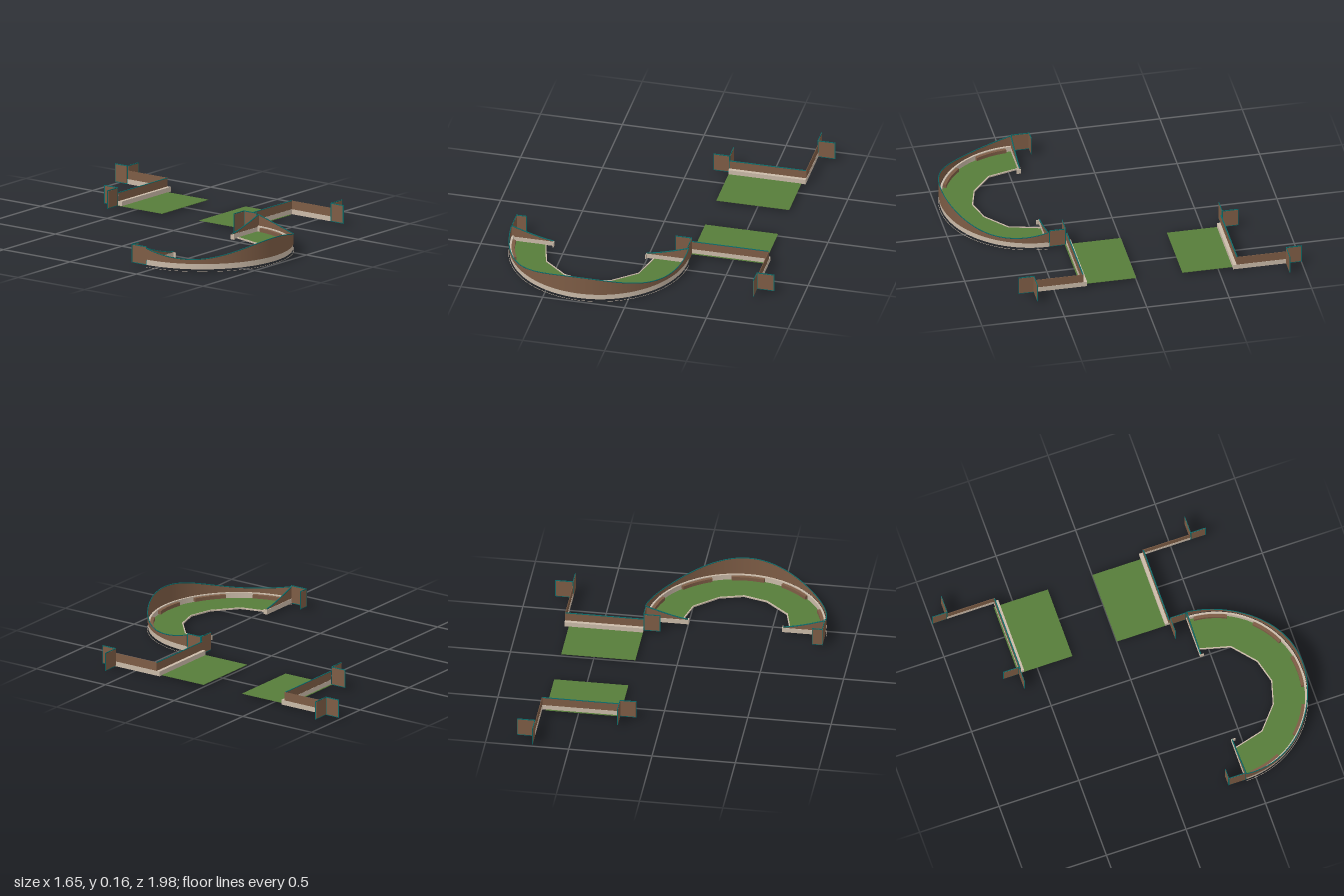
import * as THREE from 'three';

const mat = (name, color, side = THREE.FrontSide) => {
  const m = new THREE.MeshStandardMaterial({ color, side });
  m.name = name;
  return m;
};

export function createModel() {
  const root = new THREE.Group();
  root.name = 'gardenWalls';
  const brown = mat('brown', 0x7d5c45);
  const brownSheet = brown;
  brown.side = THREE.DoubleSide;
  const stone = mat('stone', 0xcabaa8);
  const teal = mat('teal', 0x0c6a68);
  const green = mat('grass', 0x577d3a);

  const add = (name, geometry, material, parent) => {
    const mesh = new THREE.Mesh(geometry, material);
    mesh.name = name;
    parent.add(mesh);
    return mesh;
  };
  // Box given by its two extremes on each axis
  const box = (name, m, parent, x0, x1, y0, y1, z0, z1) => {
    const g = new THREE.BoxGeometry(Math.abs(x1 - x0), y1 - y0, Math.abs(z1 - z0));
    g.translate((x0 + x1) / 2, (y0 + y1) / 2, (z0 + z1) / 2);
    return add(name, g, m, parent);
  };
  // Thin upright panel with a teal border, along x or along z
  const panel = (parent, axis, x, z, length) => {
    const g = new THREE.Group();
    g.name = 'framedPanel';
    const w = Math.abs(length), y0 = 0.012, y1 = 0.125, edge = 0.005;
    const h = y1 - y0;
    add('panelBorder', new THREE.BoxGeometry(w, h, 0.004), teal, g);
    add('panelFace', new THREE.BoxGeometry(w - 2 * edge, h - 2 * edge, 0.006), brown, g);
    if (axis === 'x') g.position.set(x + length / 2, (y0 + y1) / 2, z);
    else {
      g.position.set(x, (y0 + y1) / 2, z + length / 2);
      g.rotation.y = Math.PI / 2;
    }
    parent.add(g);
  };

  // Two straight units, mirrored about z = -0.14
  for (const s of [1, -1]) {
    const unit = new THREE.Group();
    unit.name = s > 0 ? 'frontStraightUnit' : 'backStraightUnit';
    root.add(unit);
    const Z = (d) => -0.14 + s * d;
    box('lawn', green, unit, 0.25, 0.695, 0.012, 0.015, Z(0.14), Z(0.48));
    box('wallBase', stone, unit, 0.25, 0.718, 0.013, 0.043, Z(0.443), Z(0.472));
    box('wall', brown, unit, 0.25, 0.718, 0.043, 0.092, Z(0.464), Z(0.471));
    box('wallCap', teal, unit, 0.25, 0.718, 0.092, 0.095, Z(0.464), Z(0.471));
    box('wingBase', stone, unit, 0.716, 0.721, 0.013, 0.043, Z(0.443), Z(0.765));
    box('wing', brown, unit, 0.717, 0.72, 0.043, 0.095, Z(0.465), Z(0.765));
    panel(unit, 'x', 0.15, Z(0.475), 0.1);
    panel(unit, 'z', 0.25, Z(0.475), s * 0.1);
    panel(unit, 'x', 0.716, Z(0.765), 0.109);
    panel(unit, 'z', 0.718, Z(0.765), s * 0.095);
  }

  // Half-round unit around its own centre
  const arc = new THREE.Group();
  arc.name = 'curvedUnit';
  arc.position.set(-0.285, 0, 0.44);
  root.add(arc);
  const flat = (shape, y0, y1) => {
    const g = new THREE.ExtrudeGeometry(shape, { depth: y1 - y0, bevelEnabled: false, curveSegments: 40 });
    return g.rotateX(Math.PI / 2).translate(0, y1, 0);
  };
  const sector = (r0, r1, a0, a1, y0, y1) => {
    const shape = new THREE.Shape();
    shape.absarc(0, 0, r1, a0, a1, false);
    shape.absarc(0, 0, r0, a1, a0, true);
    shape.closePath();
    return flat(shape, y0, y1);
  };

  // Curved lawn with a faceted inner edge and its thin kerb
  const inner = [[-0.335, 0], [-0.285, 0.19], [-0.145, 0.31], [0, 0.35], [0.145, 0.31], [0.285, 0.19], [0.335, 0]];
  const lawn = new THREE.Shape();
  lawn.absarc(0, 0, 0.53, 0, Math.PI, false);
  inner.forEach(([x, y]) => lawn.lineTo(x, y));
  lawn.closePath();
  add('curvedLawn', flat(lawn, 0.012, 0.015), green, arc);
  const kerb = new THREE.Shape();
  inner.forEach(([x, y], i) => (i ? kerb.lineTo(x, y) : kerb.moveTo(x, y)));
  [...inner].reverse().forEach(([x, y]) => kerb.lineTo(x * 0.98, y * 0.98));
  kerb.closePath();
  add('innerKerb', flat(kerb, 0.01, 0.019), stone, arc);

  // Stone ring, ground line and seats
  add('ringBase', sector(0.526, 0.538, 0, Math.PI, 0.013, 0.048), stone, arc);
  add('groundLine', sector(0.542, 0.544, 0, Math.PI, 0, 0.001), stone, arc);
  for (const deg of [15, 55, 90, 125, 165]) {
    const a = THREE.MathUtils.degToRad(deg), half = THREE.MathUtils.degToRad(11);
    add('seat', sector(0.507, 0.527, a - half, a + half, 0.02, 0.042), brown, arc);
  }

  // Wavy ring wall: high in the middle, a dip, then rising at the ends
  const R = 0.541;
  const waveHeight = (a) => {
    const d = THREE.MathUtils.radToDeg(Math.min(a, Math.PI - a));
    if (d < 30) return 0.073 + 0.042 * ((30 - d) / 30) ** 2;
    return 0.073 + 0.085 * (1 - Math.cos((Math.PI * (d - 30)) / 60)) / 2;
  };
  const wall = new THREE.CylinderGeometry(R, R, 1, 72, 1, true, -Math.PI / 2, Math.PI);
  const p = wall.attributes.position;
  for (let i = 0; i < p.count; i++) {
    const a = Math.atan2(Math.max(p.getZ(i), 0), p.getX(i));
    p.setY(i, p.getY(i) > 0 ? waveHeight(a) : 0.046);
  }
  add('wavyWall', wall, brownSheet, arc);
  const rim = [];
  for (let i = 0; i <= 48; i++) {
    const a = (Math.PI * i) / 48;
    rim.push(new THREE.Vector3(R * Math.cos(a), waveHeight(a), R * Math.sin(a)));
  }
  add('wavyRim', new THREE.TubeGeometry(new THREE.CatmullRomCurve3(rim), 120, 0.003, 6), teal, arc);

  // Sloping end walls on both sides
  for (const s of [1, -1]) {
    const end = new THREE.Group();
    end.name = s > 0 ? 'leftEndWall' : 'rightEndWall';
    arc.add(end);
    box('endBase', stone, end, s * 0.285, s * 0.538, 0.013, 0.042, -0.006, 0.004);
    box('endReturn', stone, end, s * 0.28, s * 0.286, 0.013, 0.042, -0.006, 0.02);
    const slope = [];
    for (let i = 0; i <= 8; i++) {
      const t = i / 8;
      slope.push(new THREE.Vector3(s * (0.54 - 0.255 * t), 0.045 + 0.069 * (1 - t) ** 1.3, 0));
    }
    const fin = new THREE.Shape();
    fin.moveTo(s * 0.54, 0.042);
    slope.forEach((v) => fin.lineTo(v.x, v.y));
    fin.lineTo(s * 0.285, 0.042);
    fin.closePath();
    const g = new THREE.ExtrudeGeometry(fin, { depth: 0.006, bevelEnabled: false });
    add('endFin', g.translate(0, 0, -0.003), brown, end);
    add('endFinRim', new THREE.TubeGeometry(new THREE.CatmullRomCurve3(slope), 16, 0.004, 6), teal, end);
  }

  // Framed corner panels at the free end of the curve
  panel(root, 'x', -0.825, 0.33, 0.065);
  panel(root, 'z', -0.822, 0.33, 0.11);
  return root;
}
